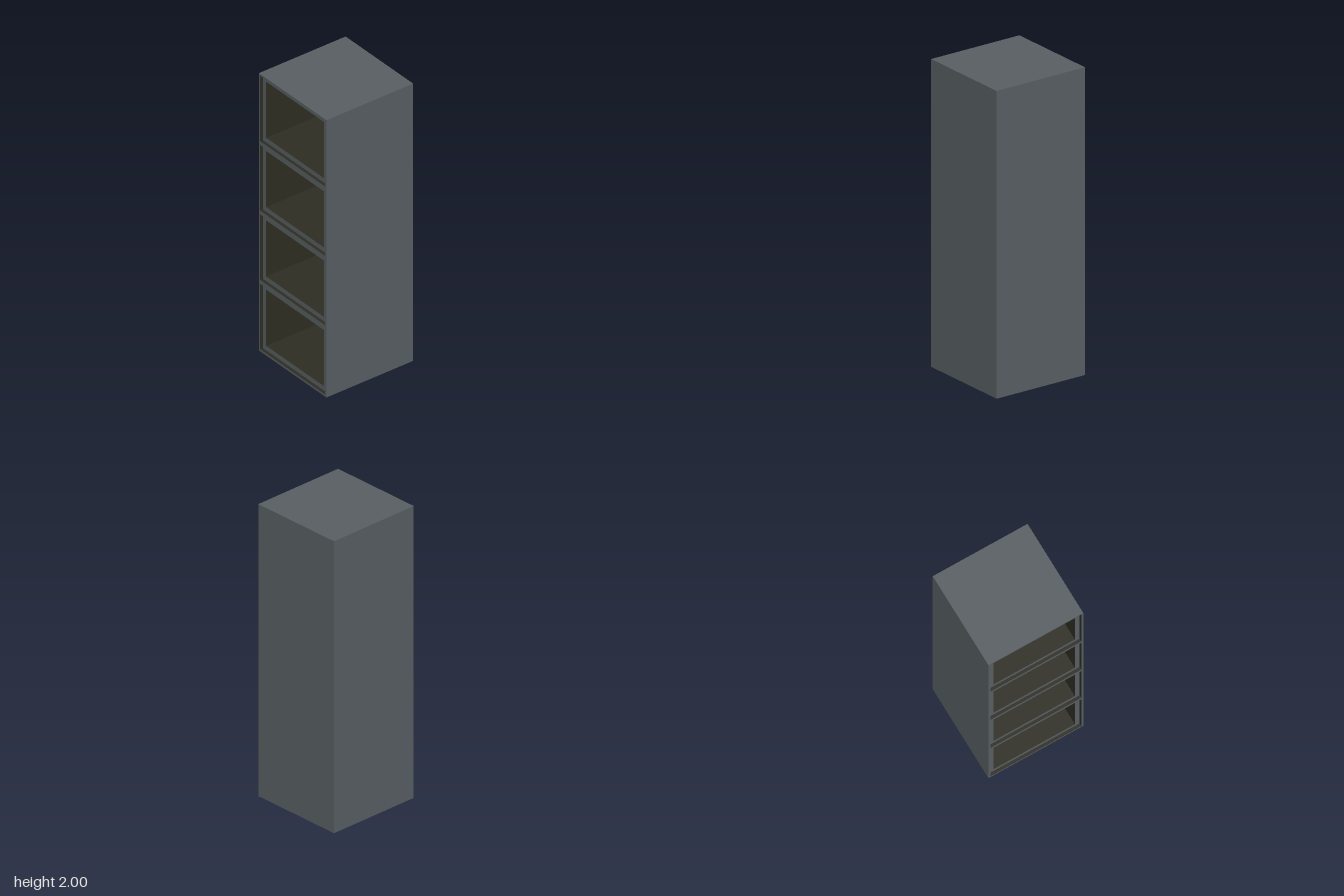
import * as THREE from 'three';

const grey = new THREE.MeshStandardMaterial({ name: 'slate grey', color: 0x596064 });
const dark = new THREE.MeshStandardMaterial({ name: 'dark olive', color: 0x2f2e23 });

const HALF = 0.333;   // half of the square footprint
const SKIN = 0.004;   // thickness of the outer panels
const CELLS = 4;
const PITCH = 0.5;

// Traces a rectangle on a Shape or Path.
function rect(path, x0, y0, x1, y1) {
  path.moveTo(x0, y0);
  path.lineTo(x1, y0);
  path.lineTo(x1, y1);
  path.lineTo(x0, y1);
  path.closePath();
  return path;
}

function add(group, name, geometry, material, x, y, z) {
  const mesh = new THREE.Mesh(geometry, material);
  mesh.name = name;
  mesh.position.set(x, y, z);
  group.add(mesh);
}

export function createModel() {
  const group = new THREE.Group();
  group.name = 'cabinet';

  // Carcass: grey front grid, dark cell walls and underside
  const inner = HALF - SKIN;
  const grid = rect(new THREE.Shape(), -inner, 0, inner, 2 - SKIN);
  for (let i = 0; i < CELLS; i++) {
    const y = i * PITCH;
    grid.holes.push(rect(new THREE.Path(), -0.32, y + 0.015, 0.32, y + 0.488));
  }
  const carcass = new THREE.ExtrudeGeometry(grid, { depth: HALF + inner, bevelEnabled: false });
  add(group, 'carcass', carcass, [grey, dark], 0, 0, -inner);

  // Outer panels
  for (const side of [-1, 1]) {
    add(group, side > 0 ? 'leftPanel' : 'rightPanel',
      new THREE.BoxGeometry(SKIN, 2, HALF * 2), grey, side * (HALF - SKIN / 2), 1, 0);
  }
  add(group, 'topPanel', new THREE.BoxGeometry(inner * 2, SKIN, HALF * 2), grey, 0, 2 - SKIN / 2, 0);
  add(group, 'backPanel', new THREE.BoxGeometry(inner * 2, 2 - SKIN, SKIN), grey, 0, 1 - SKIN / 2, -HALF + SKIN / 2);

  // Open compartments: recessed grey rim, dark lining and dark back
  const rim = rect(new THREE.Shape(), -0.318, 0.018, 0.318, 0.486);
  rim.holes.push(rect(new THREE.Path(), -0.285, 0.05, 0.285, 0.455));
  const sleeve = new THREE.ExtrudeGeometry(rim, { depth: 0.625, bevelEnabled: false });
  const back = new THREE.BoxGeometry(0.636, 0.468, 0.01);
  for (let i = 0; i < CELLS; i++) {
    const cell = new THREE.Group();
    cell.name = `compartment${i + 1}`;
    cell.position.y = i * PITCH;
    add(cell, 'compartmentSleeve', sleeve, [grey, dark], 0, 0, -0.311);
    add(cell, 'compartmentBack', back, dark, 0, 0.252, -0.317);
    group.add(cell);
  }
  return group;
}
